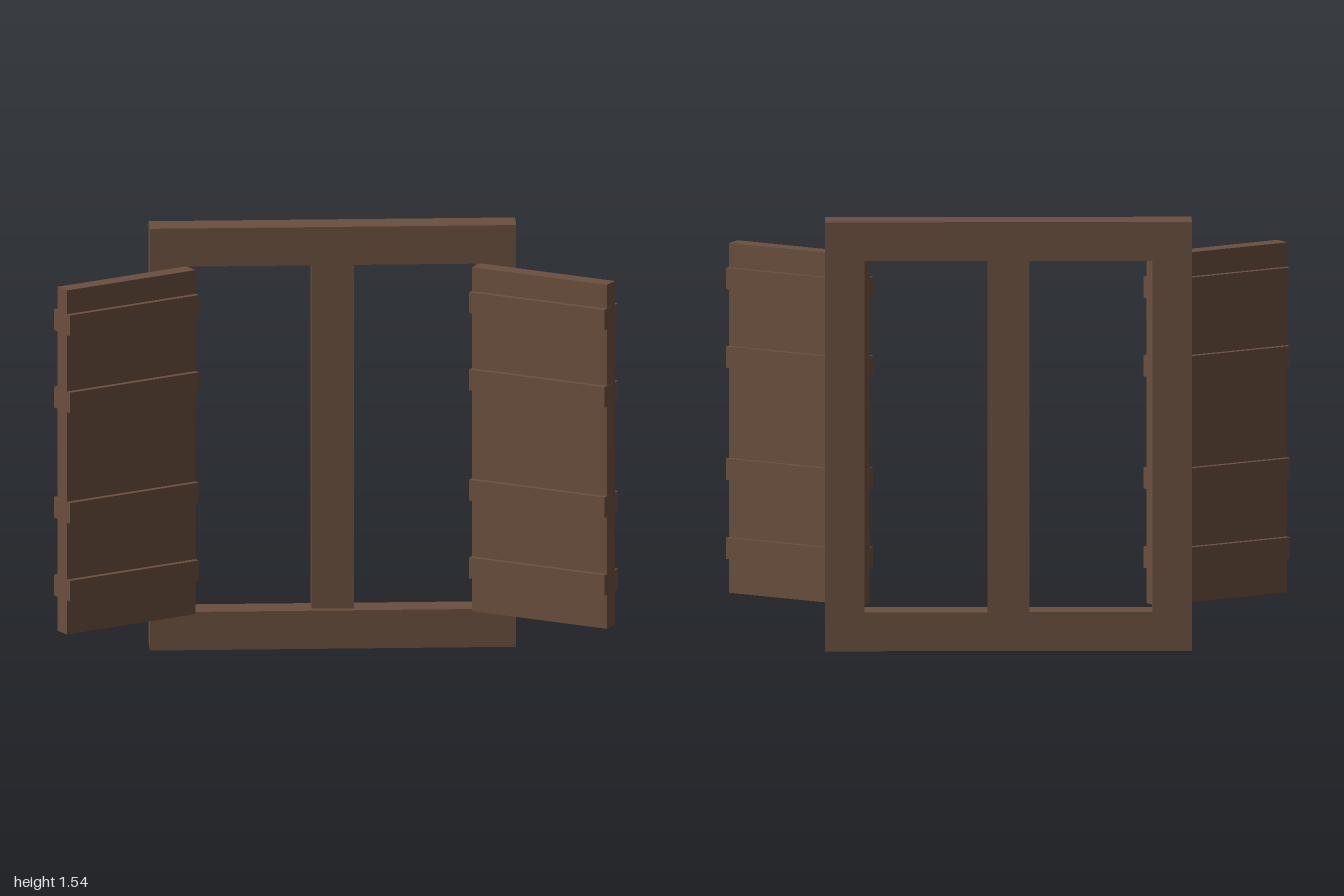
import * as THREE from 'three';

export function createModel() {
  const model = new THREE.Group();
  model.name = 'shutteredWindow';
  const wood = new THREE.MeshStandardMaterial({ color: 0x6b4f3e });
  wood.name = 'brown wood';

  const addBox = (parent, name, size, pos) => {
    const mesh = new THREE.Mesh(new THREE.BoxGeometry(...size), wood);
    mesh.name = name;
    mesh.position.set(...pos);
    parent.add(mesh);
  };

  // Outer frame: one slab with a rectangular opening
  const rect = (target, x, y0, y1) => {
    target.moveTo(-x, y0);
    target.lineTo(x, y0);
    target.lineTo(x, y1);
    target.lineTo(-x, y1);
    target.closePath();
    return target;
  };
  const outline = rect(new THREE.Shape(), 0.65, 0, 1.545);
  outline.holes.push(rect(new THREE.Path(), 0.51, 0.14, 1.405));
  const frame = new THREE.Mesh(
    new THREE.ExtrudeGeometry(outline, { depth: 0.108, bevelEnabled: false }), wood);
  frame.name = 'windowFrame';
  frame.position.z = -0.223;
  model.add(frame);

  // Centre post, flush with the back of the frame
  addBox(model, 'centrePost', [0.15, 1.265, 0.08], [0, 0.7725, -0.183]);

  // Open shutters, each a board with four battens showing on both sides
  for (const side of [1, -1]) {
    const shutter = new THREE.Group();
    shutter.name = side > 0 ? 'leftShutter' : 'rightShutter';
    shutter.position.set(side * 0.74, 0, 0.042);
    shutter.rotation.y = -side * Math.PI / 6;
    addBox(shutter, 'shutterBoard', [0.54, 1.26, 0.063], [0, 0.775, 0]);
    for (const y of [0.308, 0.593, 0.997, 1.28]) {
      addBox(shutter, 'shutterBatten', [0.542, 0.076, 0.105], [0, y, 0]);
    }
    model.add(shutter);
  }
  return model;
}
